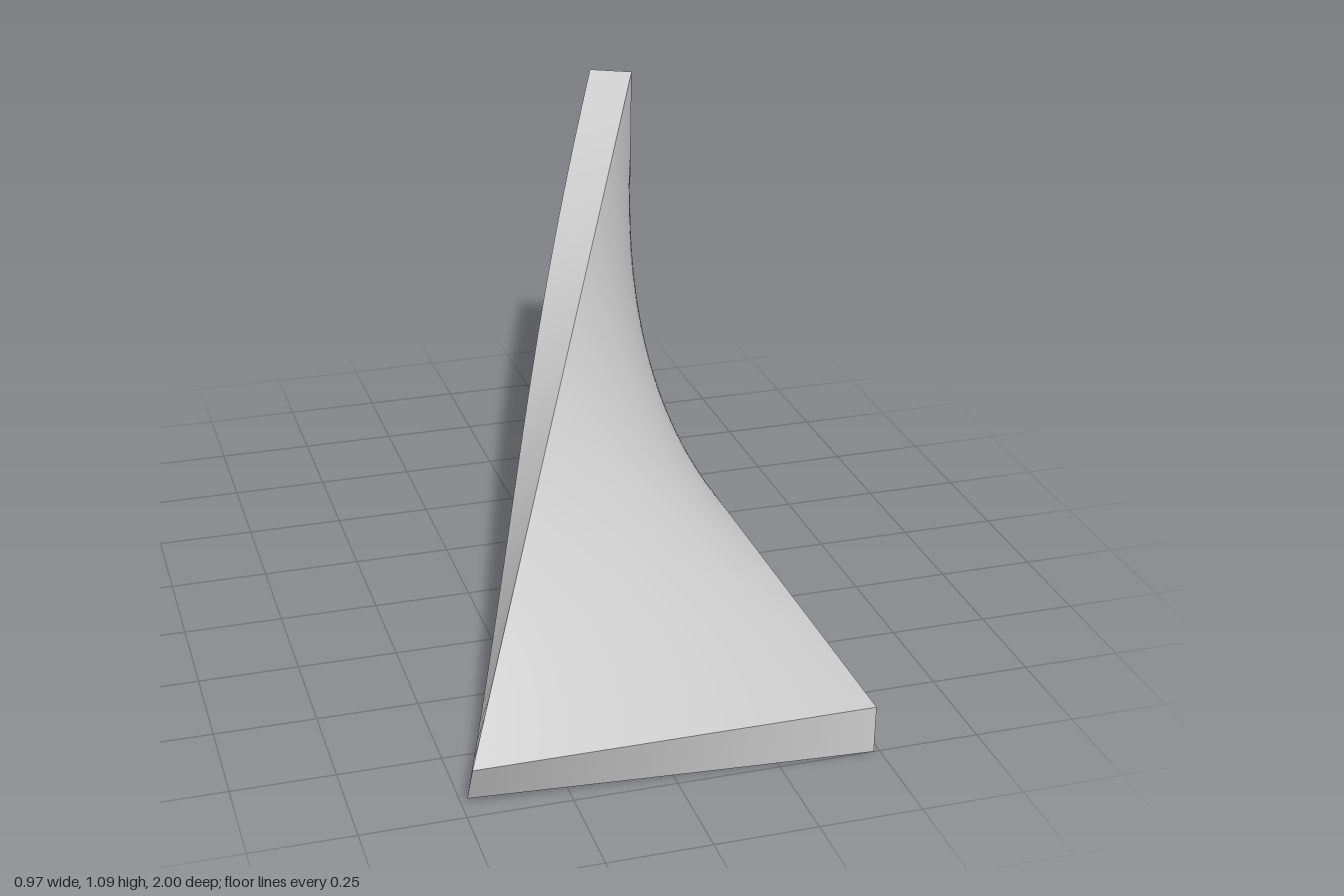
import * as THREE from 'three';
import { ParametricGeometry } from 'three/addons/geometries/ParametricGeometry.js';

const HALF = 0.486, THICK = 0.122, FRONT = 1, BACK = -0.946;
const RISE = 2 * HALF, LENGTH = FRONT - BACK;

// Point on the twisted slab: s runs across (0 = diagonal edge, 1 = straight edge),
// t runs front to back, depth is measured inward along the surface normal.
function slabPoint(s, t, depth, target) {
  const a = 1 - s;
  const across = new THREE.Vector3(2 * HALF * (1 - t), -RISE * t, 0);
  const along = new THREE.Vector3(2 * HALF * a, RISE * a, -LENGTH);
  const normal = across.cross(along).normalize();
  target.set(HALF - 2 * HALF * a * (1 - t), THICK + RISE * a * t, FRONT - LENGTH * t);
  target.addScaledVector(normal, -depth);
}

export function createModel() {
  const group = new THREE.Group();
  group.name = 'twistedSlab';
  const material = new THREE.MeshStandardMaterial({ color: 0xcccccc });

  const addFace = (name, fn, uSteps, vSteps) => {
    const mesh = new THREE.Mesh(new ParametricGeometry(fn, uSteps, vSteps), material);
    mesh.name = name;
    group.add(mesh);
  };

  // Saddle-shaped top and its parallel underside
  addFace('topSurface', (u, v, p) => slabPoint(u, v, 0, p), 48, 48);
  addFace('undersideSurface', (u, v, p) => slabPoint(v, u, THICK, p), 48, 48);

  // Four edge walls, walked anticlockwise around the rim
  const walls = {
    frontEdge: (u) => [u, 0],
    straightEdge: (u) => [1, u],
    backEdge: (u) => [1 - u, 1],
    diagonalEdge: (u) => [0, 1 - u],
  };
  for (const [name, rim] of Object.entries(walls)) {
    addFace(name, (u, v, p) => slabPoint(...rim(u), THICK * (1 - v), p), 48, 1);
  }
  return group;
}
